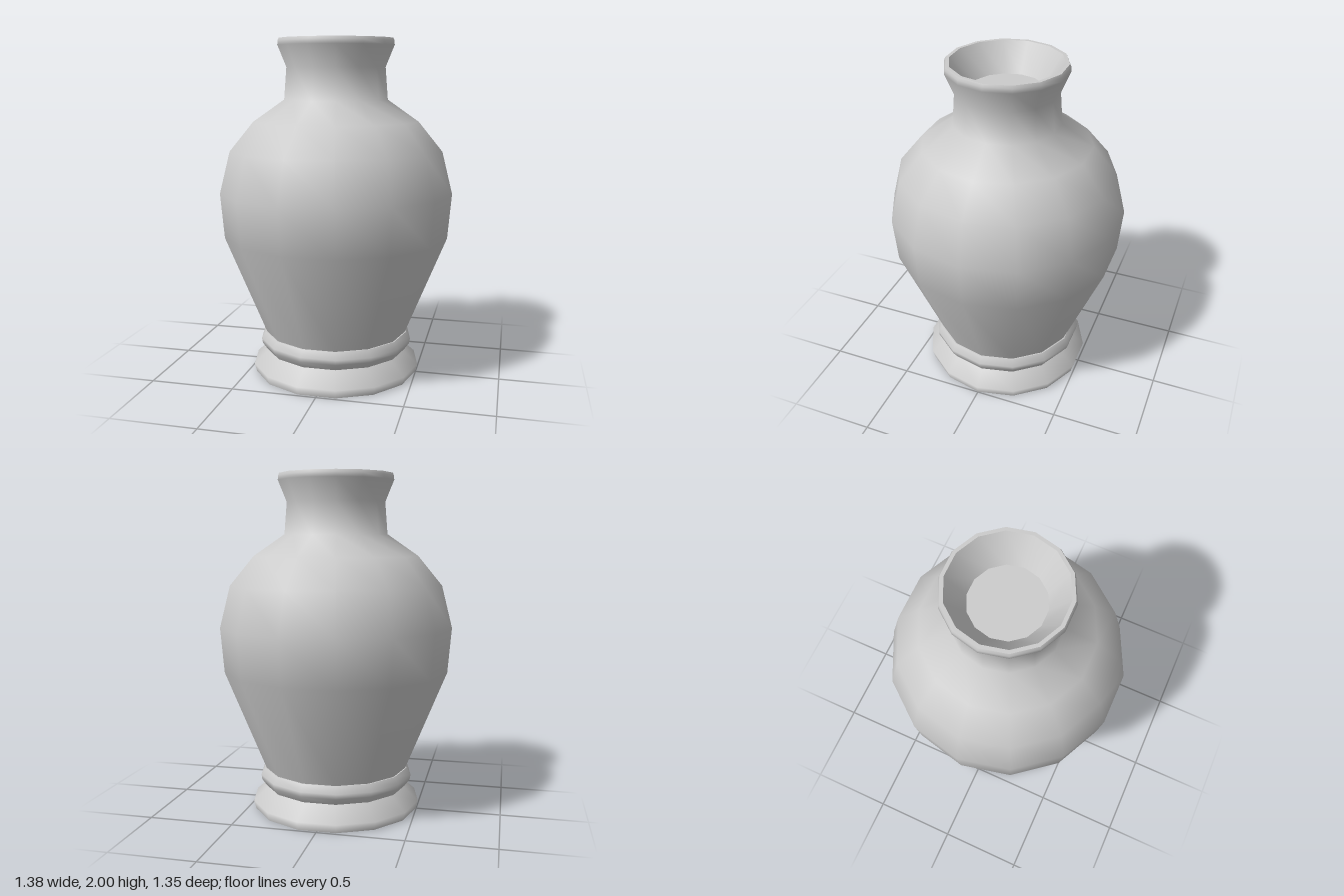
import * as THREE from 'three';

const SIDES = 14;

export function createModel() {
  const vase = new THREE.Group();
  vase.name = 'vase';
  const material = new THREE.MeshStandardMaterial({ color: 0xcccccc });

  // Each part is a turned profile of [radius, height]; separate parts keep sharp edges between them.
  function turn(name, profile) {
    const points = profile.map(([r, y]) => new THREE.Vector2(r, y));
    // A corner of the polygon lies on the x axis
    const geometry = new THREE.LatheGeometry(points, SIDES, Math.PI / 2);
    const mesh = new THREE.Mesh(geometry, material);
    mesh.name = name;
    vase.add(mesh);
  }

  // Foot: flat underside and flared plinth
  turn('underside', [[0, 0], [0.497, 0]]);
  turn('foot', [[0.497, 0], [0.51, 0.05], [0.41, 0.14]]);

  // Raised ring above the foot
  turn('ringUnderside', [[0.41, 0.14], [0.43, 0.14]]);
  turn('ring', [[0.43, 0.14], [0.458, 0.18], [0.463, 0.21], [0.437, 0.25]]);
  turn('ringTop', [[0.437, 0.25], [0.43, 0.25]]);

  // Belly, shoulder, neck and flared lip in one smooth skin
  turn('body', [
    [0.43, 0.25], [0.67, 0.845], [0.692, 1.11], [0.63, 1.355], [0.49, 1.525],
    [0.308, 1.65], [0.293, 1.835], [0.344, 1.96], [0.342, 1.985], [0.335, 2],
  ]);

  // Mouth: rim, funnel and the closed floor inside the neck
  turn('rim', [[0.335, 2], [0.315, 2]]);
  turn('mouth', [[0.315, 2], [0.21, 1.84]]);
  turn('mouthFloor', [[0.21, 1.84], [0, 1.84]]);

  return vase;
}
